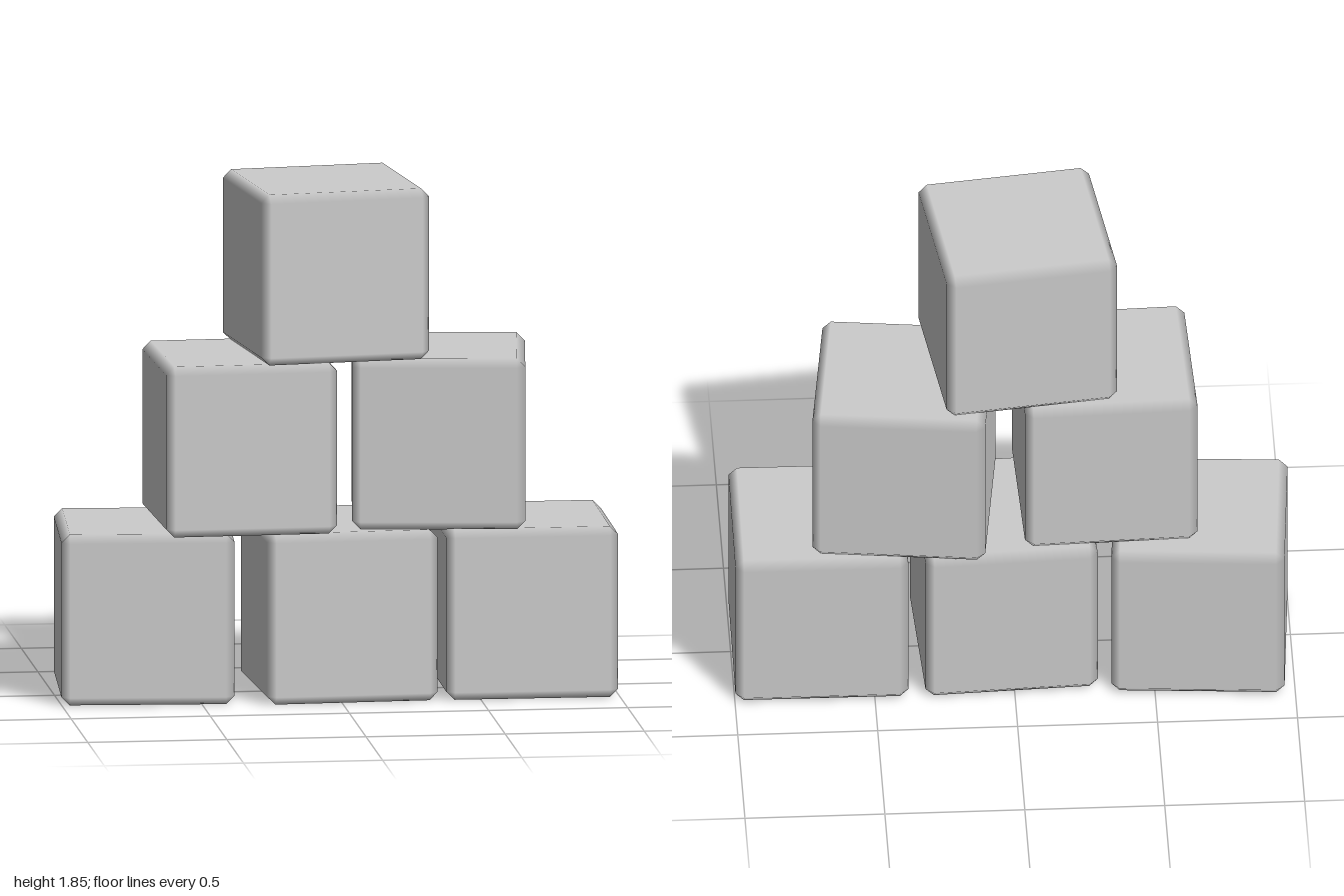
import * as THREE from 'three';
import { ConvexGeometry } from 'three/addons/geometries/ConvexGeometry.js';

const SIZE = 0.618;
const BEVEL = 0.03;

// Cube with chamfered edges: flat faces, shading blended across the chamfers
function bevelledCube() {
  const h = SIZE / 2, k = h - BEVEL;
  const points = [];
  for (const x of [-1, 1]) for (const y of [-1, 1]) for (const z of [-1, 1]) {
    points.push(
      new THREE.Vector3(x * h, y * k, z * k),
      new THREE.Vector3(x * k, y * h, z * k),
      new THREE.Vector3(x * k, y * k, z * h)
    );
  }
  const geometry = new ConvexGeometry(points);
  // Each corner takes the normal of the main face it lies on
  const { position, normal } = geometry.attributes;
  for (let i = 0; i < position.count; i++) {
    const n = [position.getX(i), position.getY(i), position.getZ(i)]
      .map((c) => (Math.abs(c) > h - BEVEL / 2 ? Math.sign(c) : 0));
    normal.setXYZ(i, ...n);
  }
  return geometry;
}

export function createModel() {
  const group = new THREE.Group();
  group.name = 'blockPyramid';
  const geometry = bevelledCube();
  const material = new THREE.MeshStandardMaterial({ color: 0xcccccc });

  // name, row, x, z, turn in degrees
  const blocks = [
    ['bottomRightBlock', 0, -0.673, -0.043, -4],
    ['bottomMiddleBlock', 0, 0.024, -0.005, 2.8],
    ['bottomLeftBlock', 0, 0.687, -0.015, -0.4],
    ['middleRightBlock', 1, -0.338, 0.032, 1.9],
    ['middleLeftBlock', 1, 0.382, -0.018, -6.6],
    ['topBlock', 2, -0.027, 0.02, 7.4],
  ];
  for (const [name, row, x, z, turn] of blocks) {
    const block = new THREE.Mesh(geometry, material);
    block.name = name;
    block.position.set(x, SIZE * (row + 0.5), z);
    block.rotation.y = THREE.MathUtils.degToRad(turn);
    group.add(block);
  }
  return group;
}
